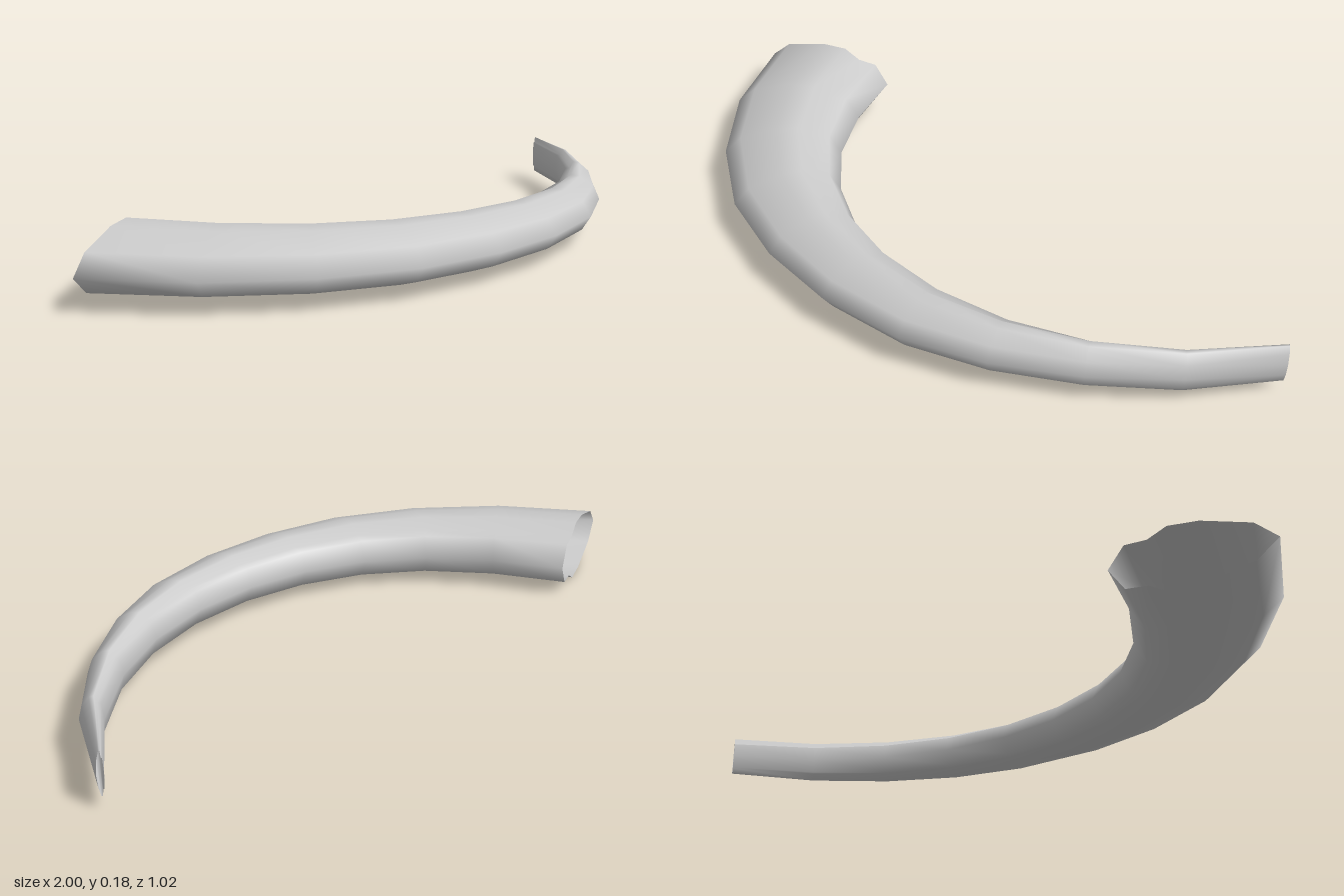
import * as THREE from 'three';

// Outer and inner edge of the curved horn at each station, as [x, z]
const outer = [[-1, 0.105], [-0.77, 0.31], [-0.51, 0.445], [-0.24, 0.51], [0.02, 0.5], [0.26, 0.44],
  [0.49, 0.325], [0.67, 0.165], [0.82, -0.03], [0.935, -0.25], [1, -0.51]];
const inner = [[-0.655, -0.155], [-0.515, 0.005], [-0.355, 0.13], [-0.18, 0.205], [0.01, 0.235], [0.205, 0.22],
  [0.4, 0.16], [0.585, 0.055], [0.745, -0.09], [0.88, -0.28], [0.982, -0.515]];

// Upper half of the cross-section: [fraction from outer to inner edge, relative height]
const top = [[0, 0], [0.14, 0.57], [0.45, 0.96], [0.64, 1], [0.76, 0.7], [0.9, 0.67], [1, 0]];
// Mirror it below for the closed ring
const ring = [...top, ...top.slice(1, -1).reverse().map(([t, h]) => [t, -h])];

export function createModel() {
  const group = new THREE.Group();
  const positions = [], indices = [];
  const n = ring.length, last = outer.length - 1;

  outer.forEach(([ox, oz], i) => {
    const [ix, iz] = inner[i];
    const halfHeight = THREE.MathUtils.lerp(0.092, 0.06, i / last);
    for (const [t, h] of ring) {
      positions.push(ox + (ix - ox) * t, 0.092 + h * halfHeight, oz + (iz - oz) * t);
    }
  });

  // Skin the rings from the open mouth to the thin tip
  for (let i = 0; i < last; i++) {
    for (let j = 0; j < n; j++) {
      const k = (j + 1) % n;
      const a = i * n + j, b = (i + 1) * n + j, c = (i + 1) * n + k, d = i * n + k;
      indices.push(a, b, d, b, c, d);
    }
  }

  const geometry = new THREE.BufferGeometry();
  geometry.setAttribute('position', new THREE.Float32BufferAttribute(positions, 3));
  geometry.setIndex(indices);
  geometry.computeVertexNormals();

  const horn = new THREE.Mesh(geometry,
    new THREE.MeshStandardMaterial({ color: 0xcccccc, side: THREE.DoubleSide }));
  horn.name = 'horn';
  group.add(horn);
  return group;
}
